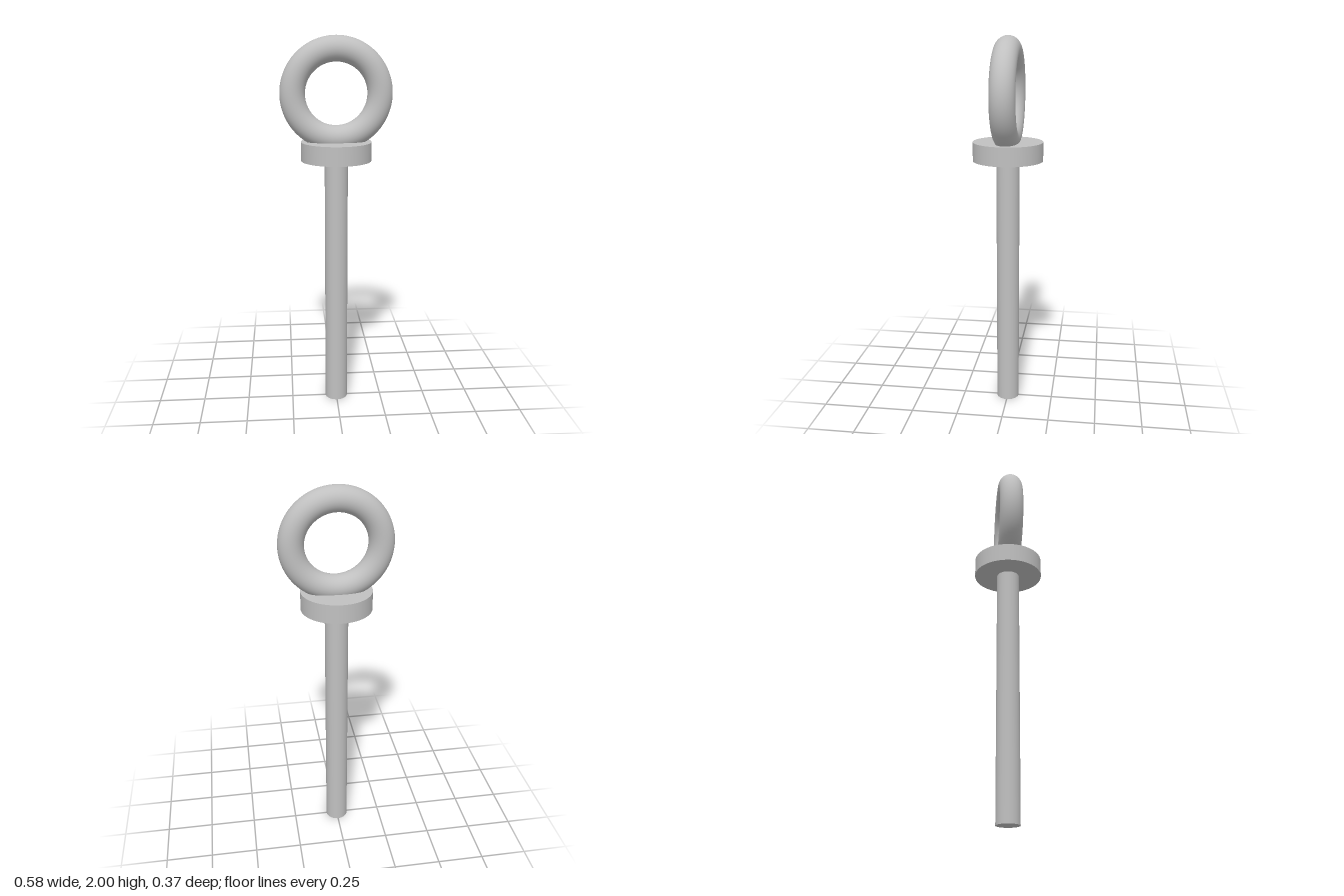
import * as THREE from 'three';

export function createModel() {
  const model = new THREE.Group();
  model.name = 'eyeBolt';

  const steel = new THREE.MeshStandardMaterial({ color: 0xc0c0c0 });
  steel.name = 'steel grey';

  function add(name, geometry, y) {
    const mesh = new THREE.Mesh(geometry, steel);
    mesh.name = name;
    mesh.position.y = y;
    model.add(mesh);
  }

  // Upright cylinder between two heights
  function addCylinder(name, radius, bottom, top) {
    add(name, new THREE.CylinderGeometry(radius, radius, top - bottom, 64), (bottom + top) / 2);
  }

  // Straight shank, running up into the collar
  addCylinder('shank', 0.061, 0, 1.38);

  // Flat round collar
  addCylinder('collar', 0.184, 1.366, 1.465);

  // Lifting ring, sunk slightly into the collar
  const tube = 0.065;
  const outer = 0.29;
  add('ring', new THREE.TorusGeometry(outer - tube, tube, 32, 96), 2 - outer);

  return model;
}
